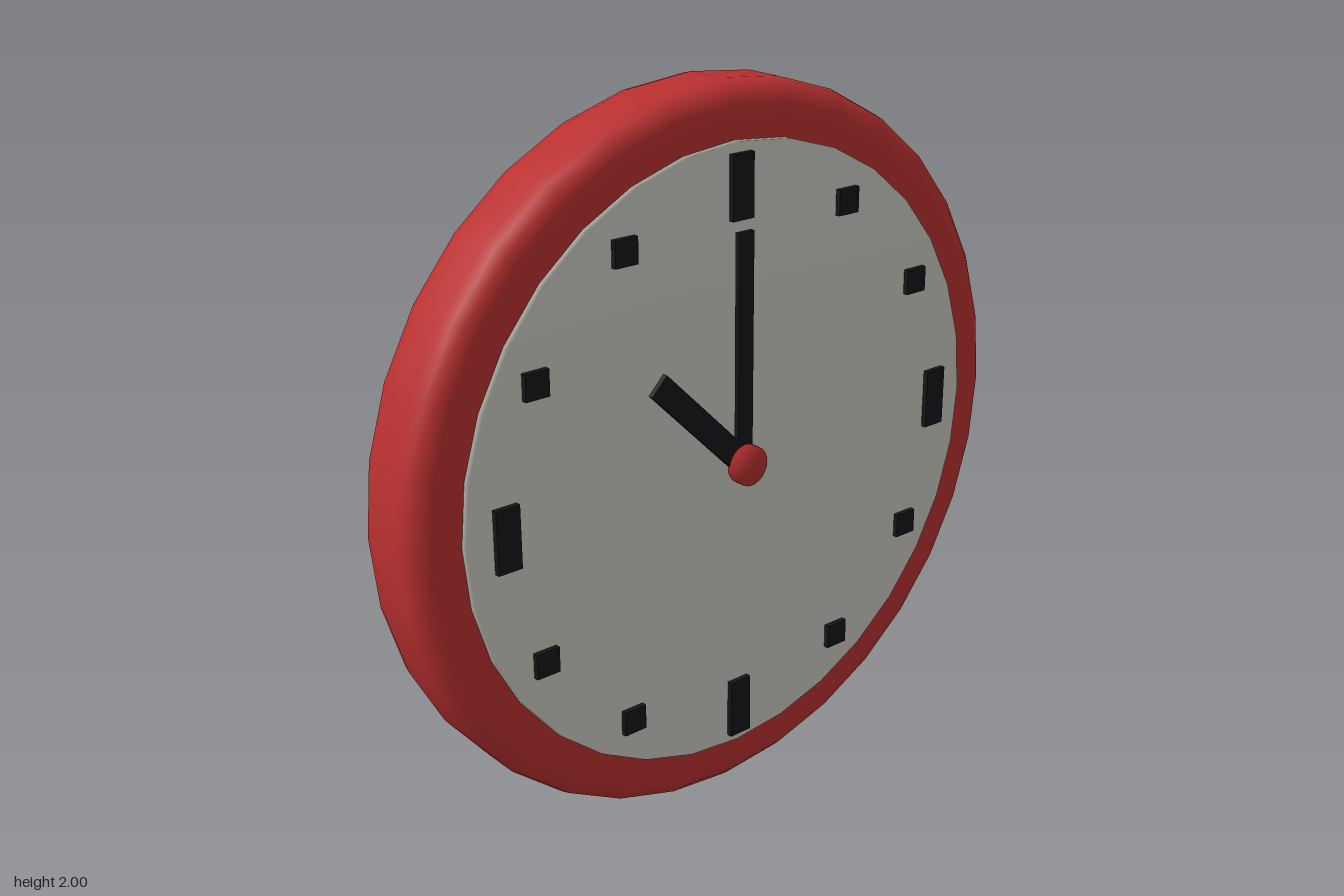
import * as THREE from 'three';

const material = (color) => new THREE.MeshStandardMaterial({ color });

export function createModel() {
  const clock = new THREE.Group();
  clock.name = 'wallClock';
  const red = material(0xb93030);
  const ivory = material(0xcacac2);
  const black = material(0x151518);

  // Everything is placed relative to the dial centre
  const add = (name, geometry, mat, x = 0, y = 0, z = 0, parent = clock) => {
    const mesh = new THREE.Mesh(geometry, mat);
    mesh.name = name;
    mesh.position.set(x, y, z);
    parent.add(mesh);
    return mesh;
  };

  // Disc turned about the z axis from [radius, z] points, back to front
  const turned = (points, sides) =>
    new THREE.LatheGeometry(points.map(([r, z]) => new THREE.Vector2(r, z)), sides)
      .rotateX(Math.PI / 2);

  const dial = new THREE.Group();
  dial.name = 'dial';
  dial.position.y = 1;
  clock.add(dial);

  // Case with rounded rim and flat back
  const back = -0.15, front = 0.08, bevel = 0.06, steps = 3;
  const profile = [[0, back], [0.86, back]];
  for (const [centre, start] of [[back + bevel, -Math.PI / 2], [front - bevel, 0]]) {
    for (let i = 0; i <= steps; i++) {
      const a = start + (i / steps) * Math.PI / 2;
      profile.push([1 - bevel + bevel * Math.cos(a), centre + bevel * Math.sin(a)]);
    }
  }
  profile.push([0.86, front], [0, front]);
  add('case', turned(profile, 32), red, 0, 0, 0, dial);

  // Face plate, softly shaded towards its edge
  add('face', turned([[0.855, 0.07], [0.855, 0.1], [0, 0.1]], 32), ivory, 0, 0, 0, dial);

  // Hour marks: all upright, tall at the quarters
  for (let hour = 0; hour < 12; hour++) {
    const a = (hour / 12) * Math.PI * 2;
    const quarter = hour % 3 === 0;
    add(quarter ? 'quarterMark' : 'hourMark',
      new THREE.BoxGeometry(0.07, quarter ? 0.17 : 0.07, 0.02), black,
      0.743 * Math.sin(a), 0.743 * Math.cos(a), 0.105, dial);
  }

  // Hands pivot at the dial centre
  const hand = (name, width, length, angle) => {
    const geometry = new THREE.BoxGeometry(width, length, 0.015).translate(0, length / 2, 0);
    add(name, geometry, black, 0, 0, 0.12, dial).rotation.z = angle;
  };
  hand('minuteHand', 0.05, 0.63, 0);
  hand('hourHand', 0.068, 0.405, Math.PI / 4);

  // Centre cap
  add('centreCap', turned([[0, 0.12], [0.055, 0.12], [0.055, 0.153], [0, 0.153]], 24),
    red, 0, 0, 0, dial);

  return clock;
}
